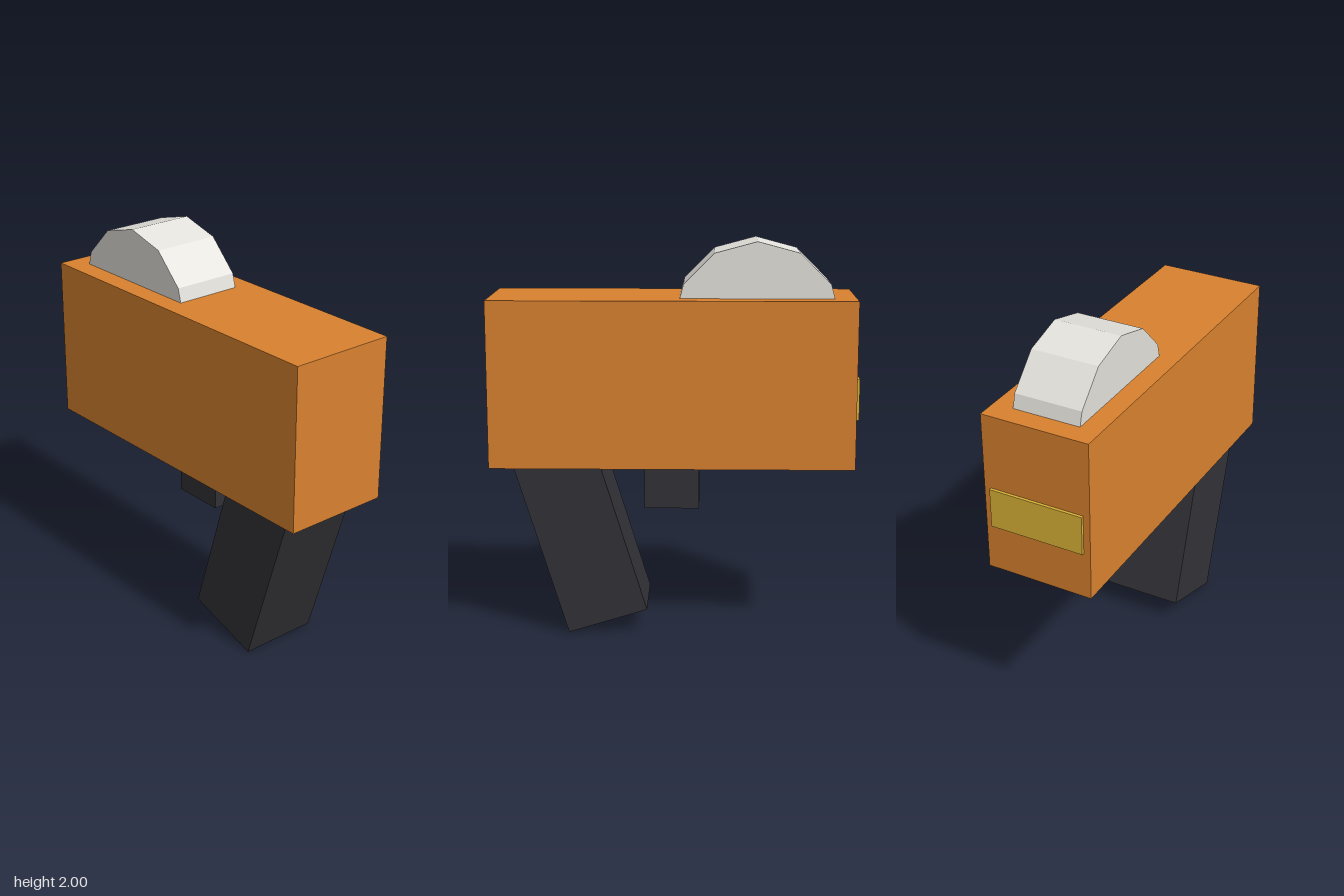
import * as THREE from 'three';

export function createModel() {
  const model = new THREE.Group();

  const add = (name, geometry, color, x, y, z) => {
    const material = new THREE.MeshStandardMaterial({ color, flatShading: true });
    const mesh = new THREE.Mesh(geometry, material);
    mesh.name = name;
    mesh.position.set(x, y, z);
    model.add(mesh);
    return mesh;
  };

  const orange = 0xd9822f, dark = 0x323136, pale = 0xe4e2dc, yellow = 0xdcb438;

  // Main housing
  add('body', new THREE.BoxGeometry(0.56, 0.84, 1.825), orange, 0, 1.3, 0.0075);

  // Twelve-sided drum lying across the body, half sunk into its top
  const drum = new THREE.CylinderGeometry(0.42, 0.42, 0.35, 12).rotateZ(Math.PI / 2);
  add('drum', drum, pale, 0, 1.58, -0.413);

  // Slanted handle, its top buried in the body
  const tilt = 0.3, length = 1.0;
  const grip = add('grip', new THREE.BoxGeometry(0.42, length, 0.42), dark,
    0, 0.063 + Math.cos(tilt) * length / 2, 0.335 + Math.sin(tilt) * length / 2);
  grip.rotation.x = tilt;

  // Trigger block under the body
  add('trigger', new THREE.BoxGeometry(0.21, 0.28, 0.28), dark, 0, 0.775, 0.01);

  // Thin plate on the back face
  add('backPlate', new THREE.BoxGeometry(0.49, 0.205, 0.04), yellow, 0, 1.23, -0.9);

  return model;
}
